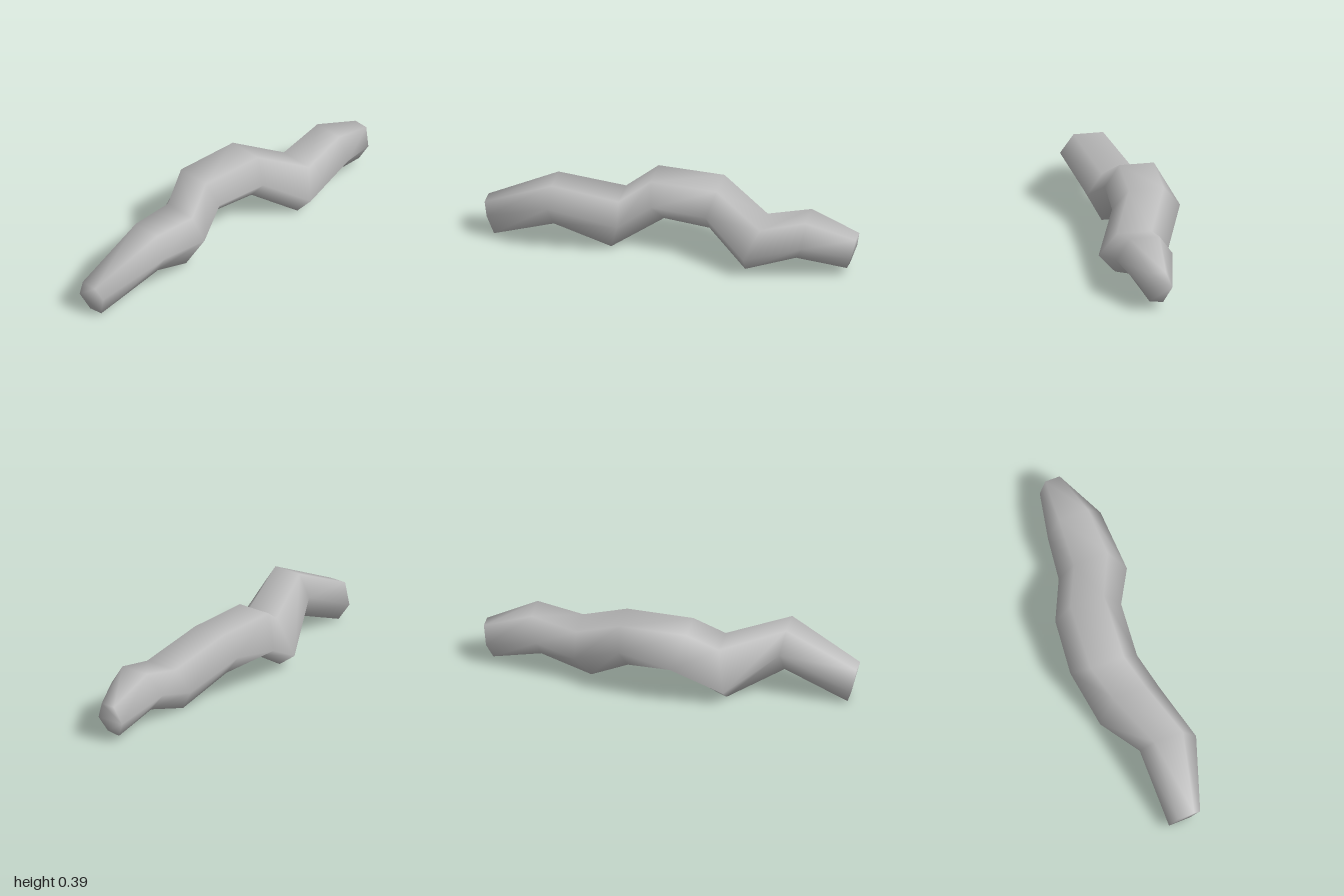
import * as THREE from 'three';

// Rings from front to back:
// left x, y, z | right x, y, z | top y, z | bottom y, z
const RINGS = [
  [-0.05, 0.09, 0.98, 0.125, 0.14, 0.98, 0.2, 1.0, 0.005, 0.95],
  [-0.07, 0.28, 0.6, 0.235, 0.285, 0.63, 0.388, 0.62, 0.15, 0.61],
  [-0.185, 0.08, 0.32, 0.165, 0.18, 0.27, 0.29, 0.28, 0.005, 0.32],
  [-0.25, 0.23, 0.05, 0.105, 0.29, 0.1, 0.397, 0.12, 0.175, 0.05],
  [-0.228, 0.29, -0.23, 0.13, 0.28, -0.2, 0.397, -0.24, 0.162, -0.2],
  [-0.11, 0.15, -0.49, 0.25, 0.12, -0.43, 0.262, -0.5, 0.008, -0.42],
  [-0.09, 0.21, -0.7, 0.22, 0.21, -0.74, 0.325, -0.74, 0.1, -0.69],
  [-0.03, 0.13, -0.98, 0.125, 0.13, -0.98, 0.225, -1.0, 0.04, -0.95],
];
const SIDES = 6;

// Six corners of one cross-section, clockwise seen from the front
function ringPoints([xl, yl, zl, xr, yr, zr, yt, zt, yb, zb]) {
  const across = (t) => xl + (xr - xl) * t;
  return [
    xl, yl, zl,
    across(0.25), yt, zt,
    across(0.77), yt, zt,
    xr, yr, zr,
    across(0.75), yb + 0.01, zb,
    across(0.28), yb, zb,
  ];
}

// Skin the rings into a closed, smooth tube
function bodyGeometry() {
  const index = [];
  for (let i = 0; i < RINGS.length - 1; i++) {
    for (let j = 0; j < SIDES; j++) {
      const a = i * SIDES + j;
      const b = i * SIDES + ((j + 1) % SIDES);
      index.push(a, b, a + SIDES, b, b + SIDES, a + SIDES);
    }
  }
  // End caps
  const last = (RINGS.length - 1) * SIDES;
  for (let j = 1; j < SIDES - 1; j++) {
    index.push(0, j + 1, j, last, last + j, last + j + 1);
  }
  const geometry = new THREE.BufferGeometry();
  geometry.setAttribute('position', new THREE.Float32BufferAttribute(RINGS.flatMap(ringPoints), 3));
  geometry.setIndex(index);
  geometry.computeVertexNormals();
  return geometry;
}

export function createModel() {
  const grey = new THREE.MeshStandardMaterial({ color: 0xbcbcbc });
  grey.name = 'grey';
  const body = new THREE.Mesh(bodyGeometry(), grey);
  body.name = 'windingBody';
  const model = new THREE.Group();
  model.name = 'windingTube';
  model.add(body);
  return model;
}
